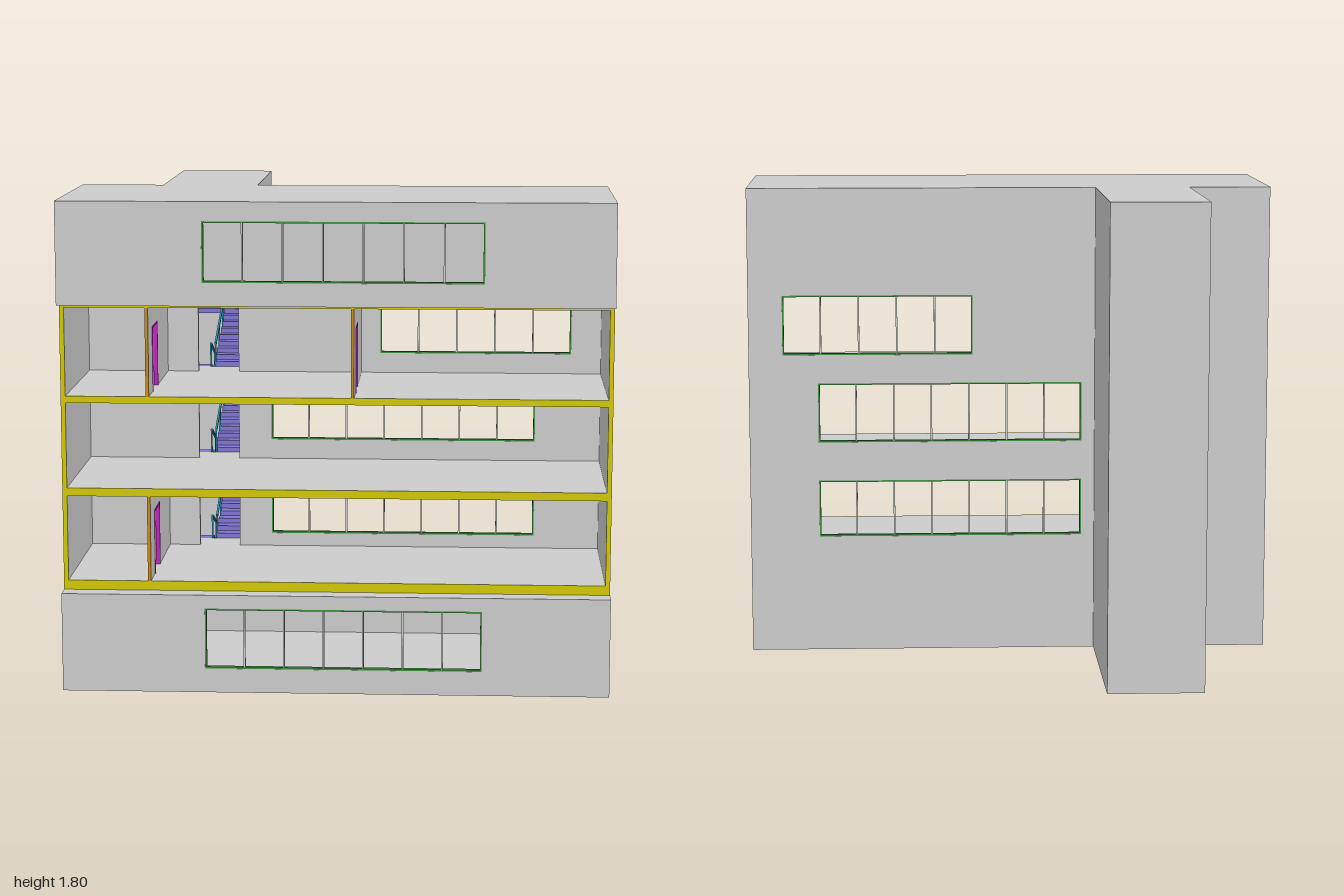
import * as THREE from 'three';

const mat = (color) => new THREE.MeshStandardMaterial({ color });
const GREY = mat(0xcccccc), YELLOW = mat(0xd2c800), ORANGE = mat(0xc88a10), GREEN = mat(0x3f8f3f);
const PURPLE = mat(0x7f74d2), TEAL = mat(0x2a8aa8), MAGENTA = mat(0xc020c0);

const T = 0.017;                                  // outer wall thickness
const FLOORS = [0.055, 0.4, 0.745, 1.085, 1.43];  // floor levels
const TOWER = { x0: -0.69, x1: -0.33, z: -0.7 };

export function createModel() {
  const model = new THREE.Group();
  model.name = 'sectionedBuilding';

  const add = (name, geo, material, parent = model) => {
    const m = new THREE.Mesh(geo, material);
    m.name = name;
    parent.add(m);
    return m;
  };
  // Box given by its two extreme corners
  const box = (name, x0, x1, y0, y1, z0, z1, material = GREY, parent = model) => {
    const m = add(name, new THREE.BoxGeometry(x1 - x0, y1 - y0, z1 - z0), material, parent);
    m.position.set((x0 + x1) / 2, (y0 + y1) / 2, (z0 + z1) / 2);
    return m;
  };
  const polygon = (pts) => new THREE.Shape(pts.map(([x, y]) => new THREE.Vector2(x, y)));
  const rect = (x0, x1, y0, y1) => [[x0, y0], [x1, y0], [x1, y1], [x0, y1]];
  // Profile drawn as (z, y), extruded along x from x0 to x1
  const sideExtrude = (name, pts, x0, x1, material = GREY, parent = model) => {
    const geo = new THREE.ExtrudeGeometry(polygon(pts.map(([z, y]) => [-z, y])),
      { depth: x1 - x0, bevelEnabled: false });
    geo.rotateY(Math.PI / 2);
    geo.translate(x0, 0, 0);
    return add(name, geo, material, parent);
  };
  // Wall in the xy plane with rectangular openings
  const wall = (name, outline, holes, z0, z1) => {
    const shape = polygon(rect(...outline));
    holes.forEach((h) => shape.holes.push(polygon(rect(...h))));
    const geo = new THREE.ExtrudeGeometry(shape, { depth: z1 - z0, bevelEnabled: false });
    geo.translate(0, 0, z0);
    return add(name, geo, GREY);
  };
  // Window lining and mullions
  const windowFrame = (name, [x0, x1, y0, y1], panes, z0, z1) => {
    const g = new THREE.Group();
    g.name = name;
    model.add(g);
    const t = 0.006, a = z0 + 0.001, b = z1 - 0.001;
    box('sill', x0, x1, y0, y0 + t, a, b, GREEN, g);
    box('head', x0, x1, y1 - t, y1, a, b, GREEN, g);
    box('jamb', x0, x0 + t, y0 + t, y1 - t, a, b, GREEN, g);
    box('jamb', x1 - t, x1, y0 + t, y1 - t, a, b, GREEN, g);
    for (let i = 1; i < panes; i++) {
      const x = x0 + ((x1 - x0) * i) / panes;
      box('mullion', x - 0.003, x + 0.003, y0 + t, y1 - t, a, b, GREY, g);
    }
  };

  // Back wall with three window bands and stair doors
  const backWindows = [
    [-0.28, 0.735, 0.45, 0.67], [-0.28, 0.735, 0.82, 1.05], [0.14, 0.87, 1.16, 1.39]];
  const stairDoors = [1, 2, 3].map((i) => [-0.56, -0.405, FLOORS[i], FLOORS[i] + 0.26]);
  wall('backWall', [-1, 1, 0, 1.8], [...backWindows, ...stairDoors], 0, 0.02);
  backWindows.forEach((w, i) => windowFrame('backWindow', w, i === 2 ? 5 : 7, 0, 0.02));

  // Front walls of the lowest and highest storeys
  const frontWindows = [[-0.475, 0.535, 0.09, 0.315], [-0.475, 0.535, 1.51, 1.73]];
  wall('lowerFrontWall', [-1, 1, 0, 0.365], [frontWindows[0]], 0.68, 0.7);
  wall('upperFrontWall', [-1, 1, 1.425, 1.8], [frontWindows[1]], 0.68, 0.7);
  frontWindows.forEach((w) => windowFrame('frontWindow', w, 7, 0.68, 0.7));

  // Side walls, set back along the cut storeys
  const sideProfile = [[0.02, 0], [0.68, 0], [0.68, 0.365], [0.63, 0.365],
    [0.63, 1.425], [0.68, 1.425], [0.68, 1.8], [0.02, 1.8]];
  sideExtrude('rightWall', sideProfile, -1, -1 + T);
  sideExtrude('leftWall', sideProfile, 1 - T, 1);

  // Slabs: [bottom, top, front z]
  [[0, 0.055, 0.68], [0.345, 0.365, 0.68], [0.365, 0.4, 0.63], [0.715, 0.745, 0.63],
    [1.06, 1.085, 0.63], [1.41, 1.425, 0.63], [1.425, 1.435, 0.68], [1.775, 1.8, 0.68],
  ].forEach(([y0, y1, z]) => box('slab', -1 + T, 1 - T, y0, y1, 0.02, z));

  // Coloured faces along the cut
  const cut = new THREE.Group();
  cut.name = 'cutFaces';
  model.add(cut);
  [[0.365, 0.4], [0.715, 0.745], [1.06, 1.085], [1.41, 1.425]].forEach(([y0, y1]) =>
    box('slabCutFace', -1 + T, 1 - T, y0, y1, 0.628, 0.632, YELLOW, cut));
  [-1, 1 - T].forEach((x) => box('wallCutFace', x, x + T, 0.365, 1.425, 0.628, 0.632, YELLOW, cut));

  // Partitions with a doorway near the front
  const partition = (x, y0, y1) => {
    const x1 = x + 0.012, head = y0 + 0.24;
    sideExtrude('partition', [[0.02, y0], [0.36, y0], [0.36, head], [0.51, head],
      [0.51, y0], [0.628, y0], [0.628, y1], [0.02, y1]], x, x1);
    box('partitionCutFace', x, x1, y0, y1, 0.628, 0.632, ORANGE);
    const a = x - 0.002, b = x1 + 0.002;
    box('doorJamb', a, b, y0, head, 0.358, 0.364, MAGENTA);
    box('doorJamb', a, b, y0, head, 0.506, 0.512, MAGENTA);
    box('doorHead', a, b, head - 0.006, head, 0.364, 0.506, MAGENTA);
  };
  partition(-0.69, 0.4, 0.715);
  partition(-0.69, 1.085, 1.41);
  partition(0.055, 1.085, 1.41);

  // Stair tower shell
  const { x0: tx0, x1: tx1, z: tz } = TOWER;
  box('towerWall', tx0, tx0 + T, 0, 1.8, tz, 0);
  box('towerWall', tx1 - T, tx1, 0, 1.8, tz, 0);
  box('towerBackWall', tx0 + T, tx1 - T, 0, 1.8, tz, tz + T);
  box('towerBase', tx0 + T, tx1 - T, 0, 0.03, tz + T, 0);
  box('towerRoof', tx0 + T, tx1 - T, 1.775, 1.8, tz + T, 0);

  // One flight of steps from (za, ya) up to (zb, yb)
  const STEPS = 9, LAND_FRONT = -0.1, LAND_BACK = -0.56;
  const flight = (x0, x1, za, ya, zb, yb) => {
    const dz = (zb - za) / STEPS, dy = (yb - ya) / STEPS;
    const pts = [[za, ya]];
    for (let i = 0; i < STEPS; i++) {
      pts.push([za + dz * i, ya + dy * (i + 1)], [za + dz * (i + 1), ya + dy * (i + 1)]);
    }
    pts.push([zb, yb - 0.025], [za + dz, ya]);
    sideExtrude('stairFlight', pts, x0, x1, PURPLE);
    // Handrail on posts
    const rx = x0 < -0.6 ? x1 - 0.004 : x0 + 0.004, h = 0.09;
    for (let i = 0; i <= STEPS; i += 3) {
      const y = ya + dy * i, z = za + dz * i;
      box('railPost', rx - 0.003, rx + 0.003, y, y + h, z - 0.003, z + 0.003, TEAL);
    }
    const rail = add('handrail',
      new THREE.BoxGeometry(0.008, 0.008, Math.hypot(zb - za, yb - ya)), TEAL);
    rail.position.set(rx, (ya + yb) / 2 + h, (za + zb) / 2);
    rail.rotation.x = -Math.atan2(yb - ya, zb - za);
  };
  const inner0 = tx0 + T, inner1 = tx1 - T;
  FLOORS.forEach((y, i) => {
    box('floorLanding', inner0, inner1, y - 0.025, y, LAND_FRONT, 0);
    if (i === FLOORS.length - 1) return;
    const next = FLOORS[i + 1], mid = (y + next) / 2;
    flight(-0.51, inner1, LAND_FRONT, y, LAND_BACK, mid);
    box('halfLanding', inner0, inner1, mid - 0.025, mid, tz + T, LAND_BACK, PURPLE);
    flight(inner0, -0.52, LAND_BACK, mid, LAND_FRONT, next);
  });

  return model;
}
